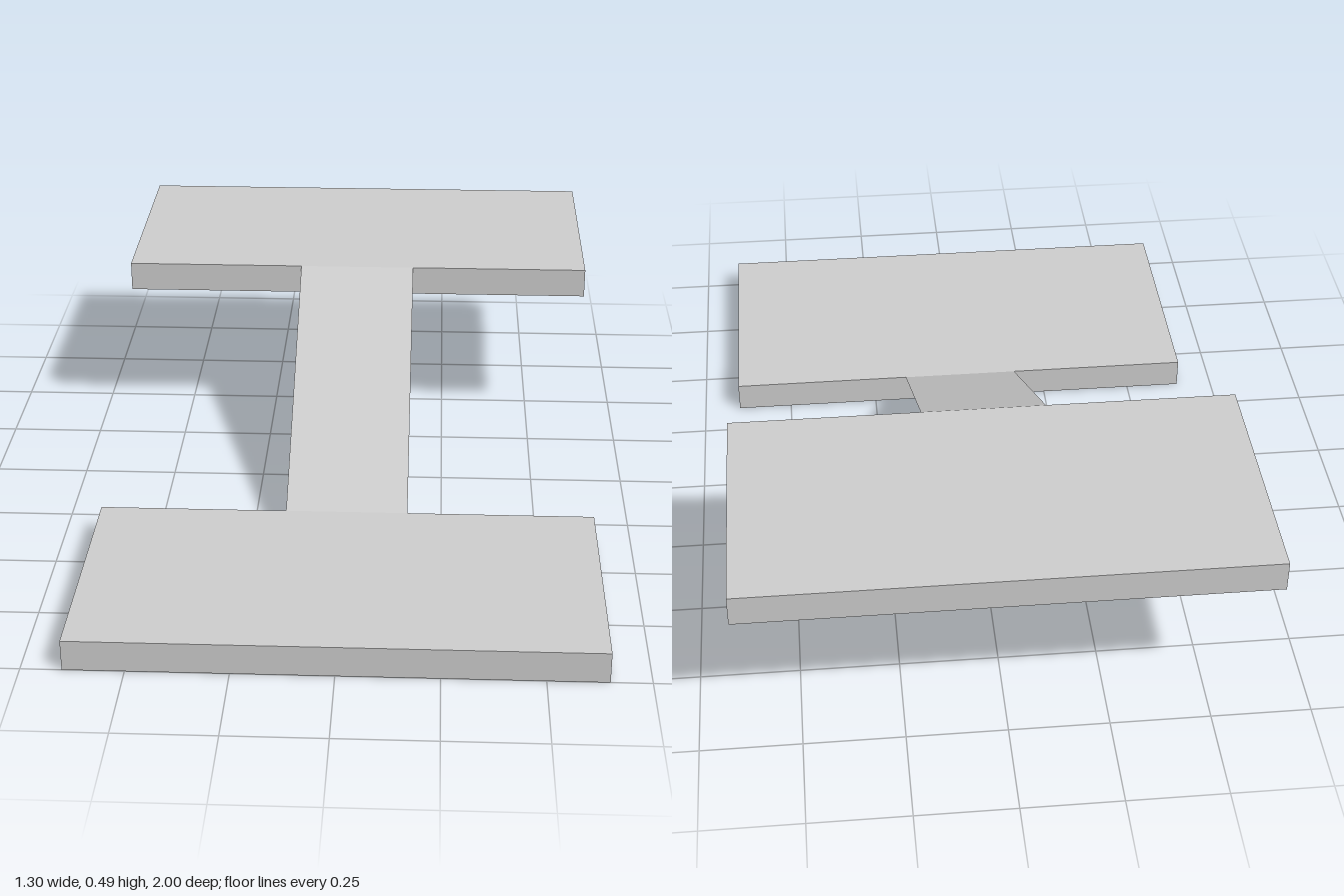
import * as THREE from 'three';

export function createModel() {
  const group = new THREE.Group();
  const grey = new THREE.MeshStandardMaterial({ color: 0xcccccc, side: THREE.DoubleSide });
  grey.name = 'plain grey';

  const width = 1.3, thickness = 0.08, depth = 0.65;
  const rise = 0.41, gap = 0.7;

  // Two identical slabs, the rear one raised
  const slab = new THREE.BoxGeometry(width, thickness, depth);
  for (const [name, y, z] of [
    ['lowerPlatform', thickness / 2, 0.675],
    ['upperPlatform', thickness / 2 + rise, -0.675],
  ]) {
    const mesh = new THREE.Mesh(slab, grey);
    mesh.name = name;
    mesh.position.set(0, y, z);
    group.add(mesh);
  }

  // Thin sloping sheet joining the top edges of the slabs
  const ramp = new THREE.Mesh(new THREE.PlaneGeometry(0.32, Math.hypot(gap, rise)), grey);
  ramp.name = 'ramp';
  ramp.position.set(0, thickness + rise / 2, 0);
  ramp.rotation.x = -Math.atan2(gap, rise);
  group.add(ramp);

  return group;
}
